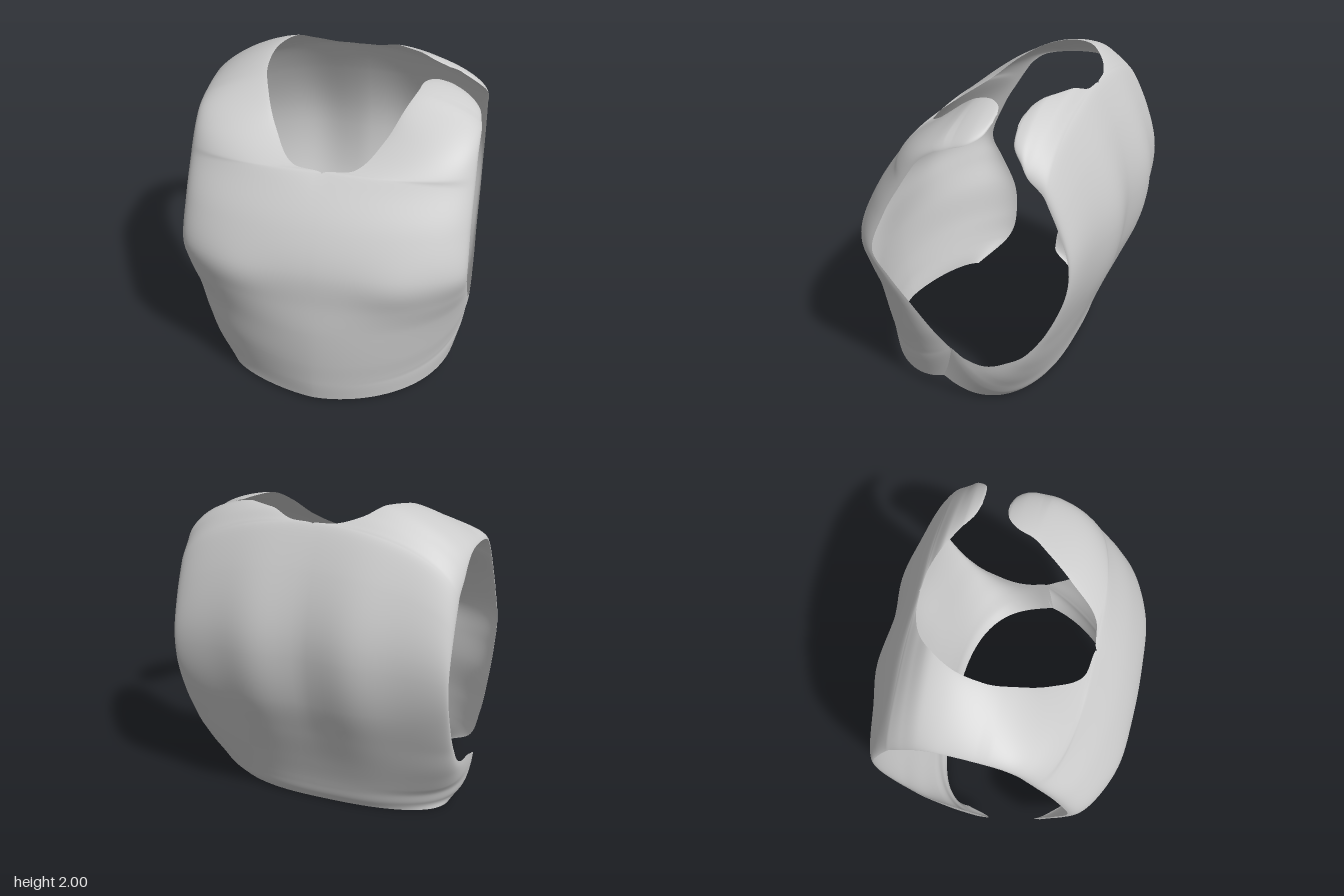
import * as THREE from 'three';

// Each row of a panel: [inner x, y, z,  outer x, y, z,  roundness]
// Rows run from the front hem, over the shoulder, to the back hem.
const frontUpper = [
  [0, 1.05, 0.80, 0.885, 1.0, 0.52, 2],
  [0, 1.30, 0.69, 0.875, 1.25, 0.43, 2],
  [0, 1.55, 0.49, 0.87, 1.46, 0.31, 2],
  [0.18, 1.57, 0.45, 0.868, 1.54, 0.26, 1.9],
  [0.33, 1.69, 0.27, 0.865, 1.64, 0.185, 1.7],
  [0.42, 1.83, 0.10, 0.865, 1.71, 0.08, 1.5],
];
const backUpper = [
  [0.28, 1.95, -0.48, 0.865, 1.65, -0.47, 1.6],
  [0.14, 1.91, -0.54, 0.86, 1.57, -0.55, 1.8],
  [0, 1.90, -0.56, 0.86, 1.50, -0.585, 2],
  [0, 1.65, -0.69, 0.86, 1.35, -0.65, 2],
  [0, 1.20, -0.79, 0.86, 1.10, -0.71, 2],
  [0, 0.85, -0.75, 0.865, 0.85, -0.66, 2],
  [0, 0.60, -0.67, 0.87, 0.60, -0.54, 2.2],
  [0, 0.35, -0.58, 0.88, 0.42, -0.37, 2.5],
];

// Left side: open shoulder with rounded tips, closed under the arm
const leftFrontLower = [
  [0, 0.02, 0.78, 0.83, 0.14, 0.09, 1.85],
  [0, 0.15, 0.80, 0.88, 0.40, 0.02, 1.85],
  [0, 0.20, 0.805, 0.88, 0.425, 0.045, 1.85],
  [0, 0.35, 0.82, 0.885, 0.51, 0.135, 1.85],
  [0, 0.60, 0.83, 0.885, 0.67, 0.28, 1.85],
  [0, 0.80, 0.82, 0.885, 0.82, 0.41, 1.95],
];
const leftFrontTip = [
  [0.47, 1.89, 0, 0.855, 1.74, 0, 1.5],
  [0.50, 1.91, -0.10, 0.83, 1.77, -0.10, 1.5],
  [0.56, 1.90, -0.165, 0.76, 1.81, -0.165, 1.4],
  [0.62, 1.88, -0.185, 0.68, 1.855, -0.185, 1.3],
];
const leftBackTip = [
  [0.62, 1.90, -0.34, 0.70, 1.87, -0.34, 1.3],
  [0.52, 1.93, -0.36, 0.80, 1.80, -0.36, 1.4],
  [0.42, 1.95, -0.41, 0.85, 1.73, -0.42, 1.5],
];
const leftBackLower = [
  [0, 0.20, -0.53, 0.885, 0.34, -0.18, 2.6],
  [0, 0.13, -0.51, 0.885, 0.36, -0.07, 2.6],
  [0, 0.06, -0.49, 0.88, 0.415, 0.035, 2.6],
  [0, 0.00, -0.46, 0.83, 0.14, 0.11, 2.6],
];

// Right side: closed shoulder, open under the arm with a rounded tab at the back
const rightFrontLower = [
  [0, 0.02, 0.78, 0.60, 0.015, 0.53, 1.5],
  [0, 0.15, 0.80, 0.77, 0.17, 0.37, 1.6],
  [0, 0.20, 0.805, 0.80, 0.22, 0.34, 1.65],
  [0, 0.35, 0.82, 0.845, 0.38, 0.31, 1.75],
  [0, 0.60, 0.83, 0.88, 0.62, 0.34, 1.8],
  [0, 0.80, 0.82, 0.888, 0.82, 0.44, 1.95],
];
const rightShoulder = [
  [0.47, 1.93, -0.08, 0.865, 1.75, -0.10, 1.3],
  [0.45, 1.98, -0.25, 0.865, 1.76, -0.25, 1.3],
  [0.38, 1.995, -0.38, 0.865, 1.73, -0.37, 1.4],
];
const rightBackLower = [
  [0, 0.20, -0.53, 0.89, 0.35, -0.15, 2.6],
  [0, 0.13, -0.51, 0.885, 0.27, -0.02, 2.6],
  [0, 0.06, -0.49, 0.86, 0.14, -0.01, 2.6],
  [0, 0.00, -0.46, 0.79, 0.02, -0.18, 2.4],
];

const gauss = (v, mid, spread) => Math.exp(-(((v - mid) / spread) ** 2));

// Smooth interpolation between rows that never overshoots them
function rowSampler(rows) {
  const last = rows.length - 1;
  const gap = rows.slice(1).map((r, i) => Math.hypot(r[0] - rows[i][0], r[1] - rows[i][1], r[2] - rows[i][2]));
  const slope = (i, k) => (rows[i + 1][k] - rows[i][k]) / gap[i];
  const tangent = (i, k) => {
    if (i === 0) return slope(0, k);
    if (i === last) return slope(last - 1, k);
    const a = slope(i - 1, k), b = slope(i, k);
    if (a * b <= 0) return 0;
    const mean = (a * gap[i] + b * gap[i - 1]) / (gap[i] + gap[i - 1]);
    return Math.sign(mean) * Math.min(Math.abs(mean), 3 * Math.abs(a), 3 * Math.abs(b));
  };
  return (t) => {
    const i = Math.min(Math.floor(t), last - 1), f = t - i, g = 1 - f;
    return rows[i].map((p, k) => p * (1 + 2 * f) * g * g + rows[i + 1][k] * f * f * (3 - 2 * f)
      + gap[i] * f * g * (tangent(i, k) * g - tangent(i + 1, k) * f));
  };
}

// One half panel: every row is a rounded quarter curve from inner to outer edge
function panelGeometry(rows, side) {
  const perRow = 8, across = 28, count = (rows.length - 1) * perRow;
  const sample = rowSampler(rows);
  const pos = [], index = [];
  for (let r = 0; r <= count; r++) {
    const [ix, iy, iz, ex, ey, ez, n] = sample(r / perRow);
    for (let c = 0; c <= across; c++) {
      const a = (c / across) * Math.PI / 2;
      const kx = Math.sin(a) ** (2 / n);
      const kz = 1 - Math.max(0, Math.cos(a)) ** (2 / n);
      // rows near the hem stay level and rise only towards the underarm
      const ky = kz ** (1 + 1.8 * gauss(iy, 0, 0.4));
      const x = ix + (ex - ix) * kx;
      const y = iy + (ey - iy) * ky;
      let z = iz + (ez - iz) * kz;
      // chest and collar swell in front, shoulder blades beside the spine groove behind
      if (iz > 0) {
        z += 0.02 * gauss(x, 0.5, 0.22) * gauss(y, 0.95, 0.15);
        z += 0.06 * Math.sin(2 * a) * gauss(y, 1.67, 0.13);
      } else if (iz < -0.4) z -= 0.045 * gauss(x, 0.3, 0.2) * gauss(y, 1.1, 0.55);
      pos.push(side * x, y, z);
      if (r < count && c < across) {
        const p = r * (across + 1) + c, q = p + across + 1;
        if (side > 0) index.push(p, p + 1, q, p + 1, q + 1, q);
        else index.push(p, q, p + 1, p + 1, q, q + 1);
      }
    }
  }
  const geo = new THREE.BufferGeometry();
  geo.setAttribute('position', new THREE.Float32BufferAttribute(pos, 3));
  geo.setIndex(index);
  geo.computeVertexNormals();
  // keep the shading continuous across the middle
  const normal = geo.attributes.normal;
  for (let i = 0; i < normal.count; i++) {
    if (Math.abs(pos[i * 3]) < 1e-6) normal.setX(i, 0);
  }
  geo.normalizeNormals();
  return geo;
}

export function createModel() {
  const group = new THREE.Group();
  group.name = 'chestArmour';
  const shell = new THREE.MeshStandardMaterial({ color: 0xcccccc, side: THREE.DoubleSide });
  shell.name = 'light grey shell';

  const add = (name, rows, side) => {
    const mesh = new THREE.Mesh(panelGeometry(rows, side), shell);
    mesh.name = name;
    group.add(mesh);
  };
  add('leftFrontPanel', [...leftFrontLower, ...frontUpper, ...leftFrontTip], 1);
  add('leftBackPanel', [...leftBackTip, ...backUpper, ...leftBackLower], 1);
  add('rightPanel', [...rightFrontLower, ...frontUpper, ...rightShoulder,
    ...backUpper, ...rightBackLower], -1);
  return group;
}
